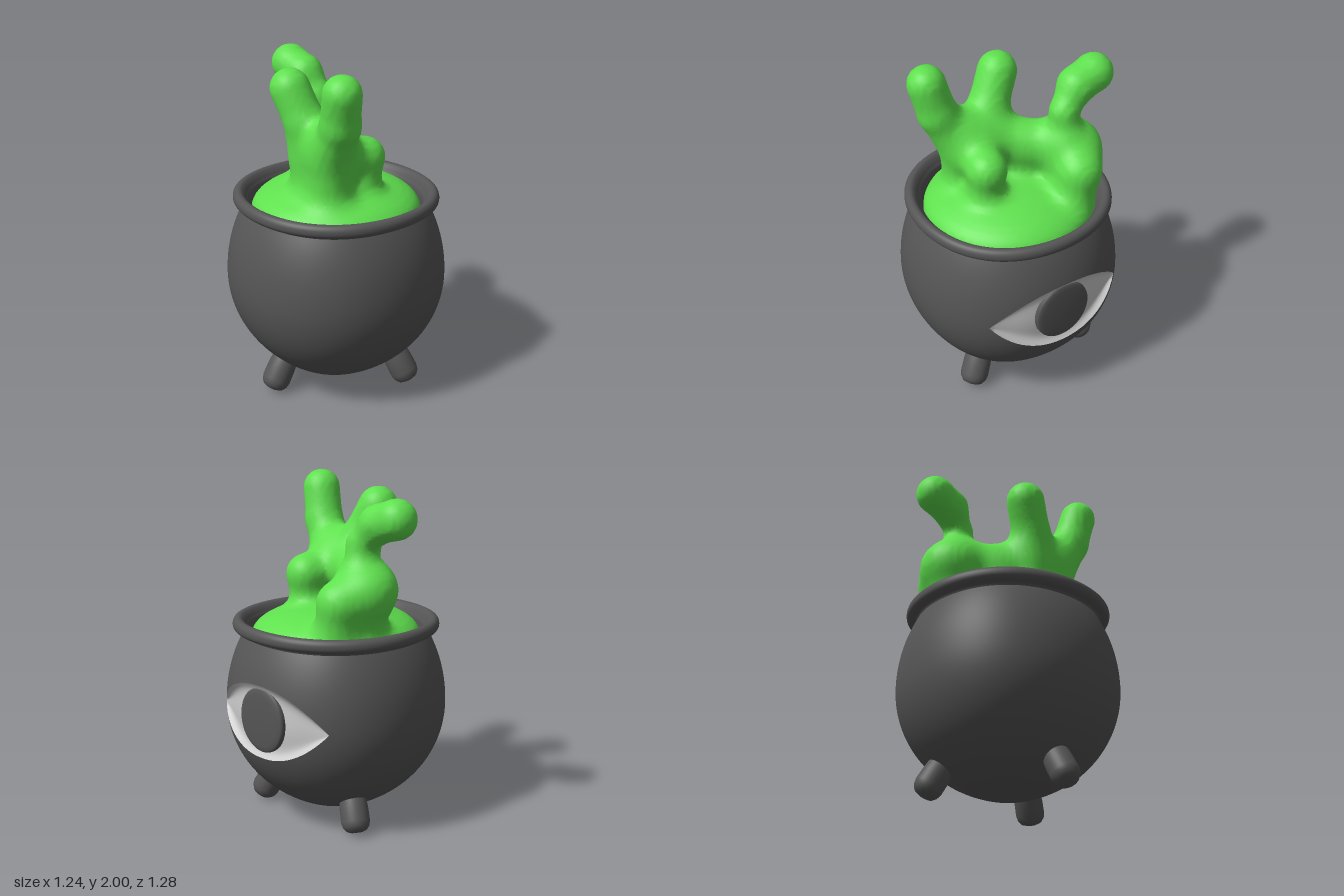
import * as THREE from 'three';
import { mergeGeometries, mergeVertices } from 'three/addons/utils/BufferGeometryUtils.js';

const IRON = new THREE.MeshStandardMaterial({ color: 0x555555 });
const WHITE = new THREE.MeshStandardMaterial({ color: 0xcccccc });
const GOO = new THREE.MeshStandardMaterial({ color: 0x5fe04e });

const CX = 0.014, CZ = 0.007;              // axis of the pot
const R = 0.635, MID = 0.68, UPPER = 0.765; // belly radius, its height, upper half-axis
const STEP = (Math.PI * 2) / 128, EYE = 15; // column width, half width of the eye in columns

function add(parent, name, geometry, material) {
  const mesh = new THREE.Mesh(geometry, material);
  mesh.name = name;
  parent.add(mesh);
  return mesh;
}

const lathe = (points, segments) =>
  new THREE.LatheGeometry(points.map(([x, y]) => new THREE.Vector2(x, y)), segments);

// The pot is very slightly square when seen from above
const squareness = (angle) => 1 + 0.026 * Math.sin(2 * angle) ** 2;

// Eyelid opening (0 to 1) for a column counted from the middle of the eye
const lid = (c) => Math.max(0, 1 - Math.pow(Math.abs(c / EYE), 2.3));
const lowLid = (c) => -0.347 * lid(c);
const highLid = (c) => 0.285 * lid(c);

// Strip of the pot's belly between two latitude rules, optionally pressed inward
function band(c0, c1, rows, from, to, inset = () => 0) {
  const pos = [], index = [];
  for (let c = c0; c <= c1; c++) {
    for (let j = 0; j <= rows; j++) {
      const a = THREE.MathUtils.lerp(from(c), to(c), j / rows);
      const r = R * Math.cos(a) * squareness(c * STEP) - inset(c, (2 * j) / rows - 1);
      const y = MID + (a < 0 ? R : UPPER) * Math.sin(a);
      pos.push(r * Math.cos(c * STEP), y, r * Math.sin(c * STEP));
      if (c < c1 && j < rows) {
        const k = (c - c0) * (rows + 1) + j, n = k + rows + 1;
        index.push(k, k + 1, n, k + 1, n + 1, n);
      }
    }
  }
  const g = new THREE.BufferGeometry();
  g.setAttribute('position', new THREE.Float32BufferAttribute(pos, 3));
  g.setIndex(index);
  return g;
}

function smooth(g) {
  const merged = mergeVertices(g, 1e-4);
  merged.computeVertexNormals();
  return merged;
}

function createPot() {
  const pot = new THREE.Group();
  pot.name = 'pot';
  pot.position.set(CX, 0, CZ);

  // Belly, left open between the eyelids
  const lower = band(-64, 64, 32, () => -Math.PI / 2, lowLid);
  const upper = band(-64, 64, 16, highLid, () => 0.582);
  add(pot, 'belly', smooth(mergeGeometries([lower, upper])), IRON);

  // Rolled rim and inner wall
  const rimCurve = new THREE.SplineCurve([
    [0.53, 1.1], [0.54, 1.115], [0.57, 1.122], [0.588, 1.142], [0.588, 1.172], [0.572, 1.193],
    [0.548, 1.196], [0.528, 1.18], [0.512, 1.155], [0.497, 1.12], [0.49, 1.0],
  ].map(([x, y]) => new THREE.Vector2(x, y)));
  const rim = new THREE.LatheGeometry(rimCurve.getPoints(40), 96);
  const p = rim.attributes.position;
  for (let i = 0; i < p.count; i++) {
    const k = squareness(Math.atan2(p.getZ(i), p.getX(i)));
    p.setXYZ(i, p.getX(i) * k, p.getY(i), p.getZ(i) * k);
  }
  add(pot, 'rim', rim, IRON);

  // Recessed eye facing +x
  const press = (c, v) => 0.05 * (1 - Math.pow(v, 6)) * (1 - Math.pow(c / EYE, 6));
  add(pot, 'eyeWhite', smooth(band(-EYE, EYE, 20, lowLid, highLid, press)), WHITE);
  const pupil = add(pot, 'pupil', lathe(
    [[1, 0], [1, 0.035], [0.985, 0.044], [0.94, 0.051], [0.8, 0.056], [0.4, 0.06], [0, 0.061]], 64), IRON);
  pupil.rotation.z = -Math.PI / 2;
  pupil.scale.set(0.19, 1, 0.177);
  pupil.position.set(0.543, 0.685, 0.004);

  // Three splayed feet
  const footShape = [[0, 0], [0.035, 0.002], [0.06, 0.012], [0.077, 0.035], [0.084, 0.065],
    [0.083, 0.14], [0.078, 0.2], [0.062, 0.28]];
  for (const angle of [Math.PI, Math.PI / 3, -Math.PI / 3]) {
    const foot = new THREE.Group();
    foot.name = 'foot';
    foot.rotation.y = angle;
    const leg = add(foot, 'footPeg', lathe(footShape, 32), IRON);
    leg.position.set(0.481, 0.022, 0);
    leg.rotation.z = Math.PI / 6;
    pot.add(foot);
  }
  return pot;
}

// Slime limbs: chains of x, y, z, radius
const LIMBS = [
  // front tentacle
  [[-0.23, 1.89, 0.378, 0.11], [-0.205, 1.7, 0.33, 0.11], [-0.17, 1.46, 0.2, 0.13], [-0.16, 1.15, 0.17, 0.14]],
  // middle tentacle
  [[-0.24, 1.825, -0.085, 0.115], [-0.2, 1.64, 0.0, 0.115], [-0.16, 1.42, 0.02, 0.13], [-0.15, 1.15, 0.02, 0.14]],
  // back tentacle, bending backward
  [[0.08, 1.828, -0.525, 0.115], [0.09, 1.79, -0.4, 0.105], [0.12, 1.67, -0.3, 0.08],
    [0.13, 1.5, -0.31, 0.11], [0.14, 1.41, -0.365, 0.15], [0.13, 1.15, -0.28, 0.14]],
  // side shoulder
  [[0.1, 1.43, -0.34, 0.14], [0.285, 1.36, -0.3, 0.125], [0.29, 1.15, -0.26, 0.115]],
  // front shoulder
  [[-0.1, 1.47, 0.16, 0.13], [0.08, 1.43, 0.19, 0.11], [0.05, 1.15, 0.19, 0.1]],
  // ridge joining the limbs, solid down to the pool
  [[-0.16, 1.55, 0.18, 0.12], [-0.11, 1.49, 0, 0.12], [0.08, 1.43, -0.28, 0.13]],
  [[-0.05, 1.38, -0.13, 0.11], [-0.05, 1.15, -0.13, 0.12]],
];

function smoothMin(a, b, k) {
  const h = Math.max(k - Math.abs(a - b), 0) / k;
  return Math.min(a, b) - h * h * k * 0.25;
}

function slimeDistance(x, y, z) {
  // Pool: a domed ellipsoid filling the mouth of the pot
  const px = (x - CX) / 0.495, py = (y - 1.09) / 0.185, pz = (z - CZ) / 0.495;
  const q = Math.hypot(px, py, pz);
  let d = (q * (q - 1)) / (Math.hypot(px / 0.495, py / 0.185, pz / 0.495) + 1e-6);
  for (const limb of LIMBS) {
    let near = Infinity;
    for (let i = 0; i + 1 < limb.length; i++) {
      const [ax, ay, az, ar] = limb[i], [bx, by, bz, br] = limb[i + 1];
      const ex = bx - ax, ey = by - ay, ez = bz - az;
      const along = ((x - ax) * ex + (y - ay) * ey + (z - az) * ez) / (ex * ex + ey * ey + ez * ez);
      const t = Math.min(1, Math.max(0, along));
      const dist = Math.hypot(x - ax - ex * t, y - ay - ey * t, z - az - ez * t) - (ar + (br - ar) * t);
      near = smoothMin(near, dist, 0.03);
    }
    d = smoothMin(d, near, 0.09);
  }
  return d;
}

// Skin over the blended limbs: one vertex per crossed cell, one quad per crossed edge
function skin(distance, min, size, step) {
  const [nx, ny, nz] = size, stride = [1, nx, nx * ny];
  const field = new Float32Array(nx * ny * nz), cell = new Int32Array(field.length).fill(-1);
  const pos = [], index = [];
  const each = (from, fn) => {
    for (let z = from; z < nz - 1; z++) for (let y = from; y < ny - 1; y++)
      for (let x = from; x < nx - 1; x++) fn([x, y, z], x + y * stride[1] + z * stride[2]);
  };
  for (let i = 0; i < field.length; i++) {
    const x = i % nx, y = Math.floor(i / nx) % ny, z = Math.floor(i / stride[2]);
    field[i] = distance(min[0] + x * step, min[1] + y * step, min[2] + z * step);
  }
  each(0, (p, i) => {
    const sum = [0, 0, 0];
    let hits = 0;
    for (let corner = 0; corner < 8; corner++) for (let a = 0; a < 3; a++) {
      if (corner & (1 << a)) continue;
      const o = [corner & 1, (corner >> 1) & 1, corner >> 2];
      const k = i + o[0] + o[1] * stride[1] + o[2] * stride[2];
      const f = field[k], g = field[k + stride[a]];
      if ((f < 0) === (g < 0)) continue;
      o[a] = f / (f - g);
      o.forEach((value, n) => { sum[n] += value; });
      hits++;
    }
    if (!hits) return;
    cell[i] = pos.length / 3;
    pos.push(...p.map((value, n) => min[n] + (value + sum[n] / hits) * step));
  });
  each(1, (p, i) => {
    for (let a = 0; a < 3; a++) {
      const inside = field[i] < 0;
      if (inside === (field[i + stride[a]] < 0)) continue;
      const u = stride[(a + 1) % 3], v = stride[(a + 2) % 3];
      const quad = [cell[i - u - v], cell[i - v], cell[i], cell[i - u]];
      if (!inside) quad.reverse();
      index.push(quad[0], quad[1], quad[2], quad[0], quad[2], quad[3]);
    }
  });
  const g = new THREE.BufferGeometry();
  g.setAttribute('position', new THREE.Float32BufferAttribute(pos, 3));
  g.setIndex(index);
  g.computeVertexNormals();
  return g;
}

export function createModel() {
  const model = new THREE.Group();
  model.name = 'cauldron';
  model.add(createPot());
  add(model, 'slime', skin(slimeDistance, [-0.6, 0.83, -0.72], [49, 50, 53], 0.025), GOO);
  return model;
}
